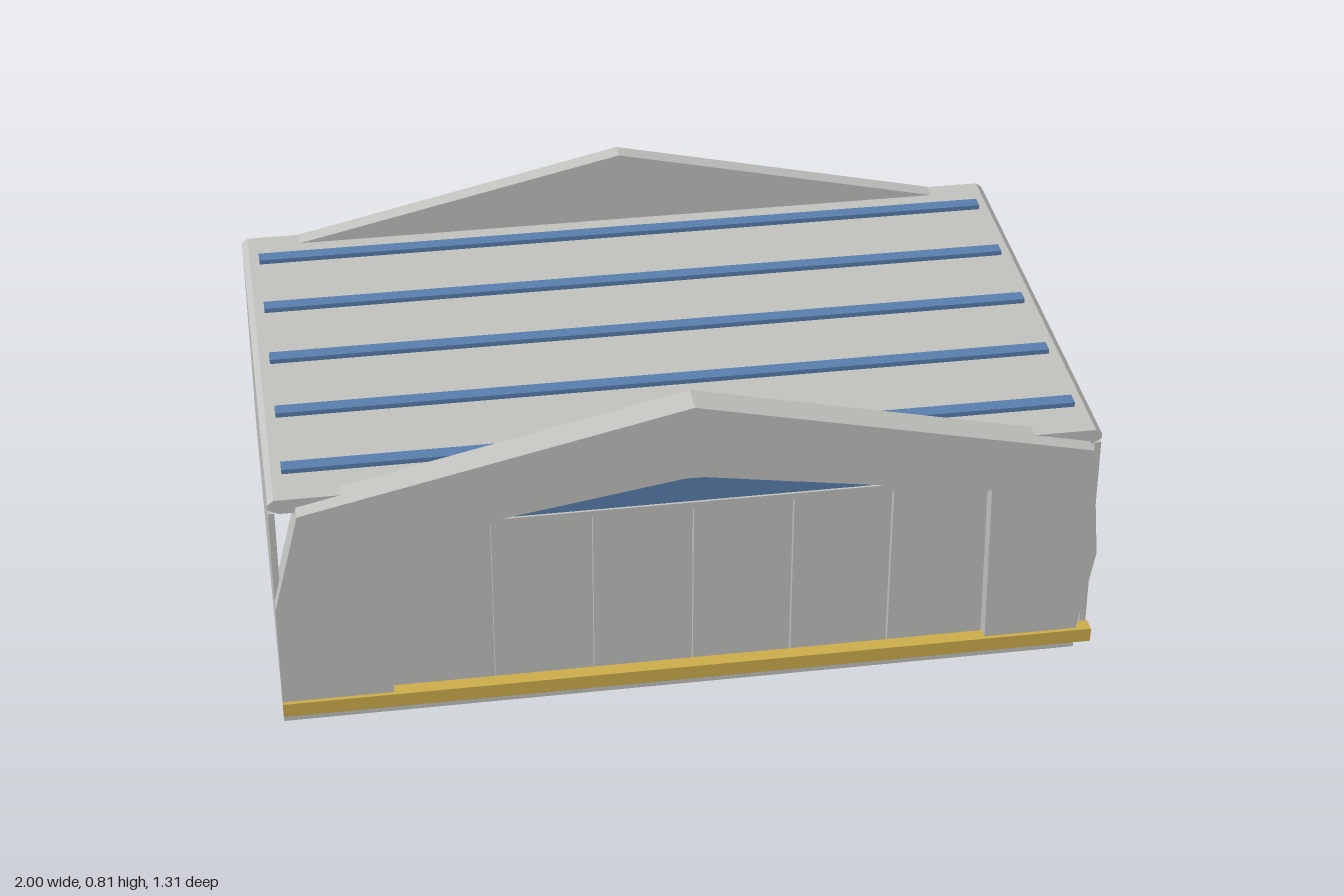
import * as THREE from 'three';

const grey = new THREE.MeshStandardMaterial({ color: 0xc4c4c1 });
grey.name = 'concrete grey';
const blue = new THREE.MeshStandardMaterial({ color: 0x5a80b0 });
blue.name = 'glass blue';
const yellow = new THREE.MeshStandardMaterial({ color: 0xcfaf4c });
yellow.name = 'kerb yellow';

export function createModel() {
  const model = new THREE.Group();
  model.name = 'hangar';

  const add = (name, geometry, material) => {
    const mesh = new THREE.Mesh(geometry, material);
    mesh.name = name;
    model.add(mesh);
    return mesh;
  };

  // Box given by its minimum and maximum on each axis
  const box = (name, material, x0, x1, y0, y1, z0, z1) => {
    const mesh = add(name, new THREE.BoxGeometry(x1 - x0, y1 - y0, z1 - z0), material);
    mesh.position.set((x0 + x1) / 2, (y0 + y1) / 2, (z0 + z1) / 2);
    return mesh;
  };

  // Outline in x and y, extruded from z0 to z1
  const toPoints = (list) => list.map(([x, y]) => new THREE.Vector2(x, y));
  const slab = (name, material, outline, z0, z1, hole) => {
    const shape = new THREE.Shape(toPoints(outline));
    if (hole) shape.holes.push(new THREE.Path(toPoints(hole)));
    const geometry = new THREE.ExtrudeGeometry(shape, { depth: z1 - z0, bevelEnabled: false });
    geometry.translate(0, 0, z0);
    return add(name, geometry, material);
  };

  // Front gable with its leaning shoulders and peaked doorway
  slab('frontGable', grey,
    [[-1, 0], [0.96, 0], [0.96, 0.04], [1, 0.28], [0.972, 0.585], [0, 0.803], [-0.935, 0.592], [-1, 0.33]],
    0.565, 0.643,
    [[-0.732, 0.03], [0.732, 0.03], [0.725, 0.495], [0, 0.61], [-0.725, 0.495]]);

  // Back gable
  slab('backGable', grey,
    [[-1, 0], [1, 0], [1, 0.582], [0, 0.808], [-1, 0.582]], -0.632, -0.585);

  // Side walls, each with a bevelled foot
  for (const side of [-1, 1]) {
    slab(side > 0 ? 'leftWall' : 'rightWall', grey,
      [[side, 0.014], [side, 0.58], [side * 0.985, 0.58], [side * 0.985, 0], [side * 0.99, 0]],
      -0.586, 0.602);
  }

  // Flat roof with stepped eaves
  const halfRoof = [[0.975, 0.578], [1, 0.59], [1, 0.605], [0.985, 0.616]];
  slab('roof', grey,
    [...halfRoof, ...halfRoof.map(([x, y]) => [-x, y]).reverse()], -0.63, 0.602);

  // Roof light strips
  for (let i = 0; i < 5; i++) {
    const z = -0.508 + i * 0.246;
    box('roofLight', blue, -0.96, 0.96, 0.612, 0.628, z - 0.018, z + 0.018);
  }

  // Sliding door leaves with dark gaps formed by a set-back panel
  const pitch = 1.462 / 6;
  for (let i = 0; i < 6; i++) {
    const x = -0.731 + i * pitch;
    box('doorLeaf', grey, x + (i ? 0.007 : 0), x + pitch - (i < 5 ? 0.007 : 0), 0.02, 0.497, 0.582, 0.602);
  }
  box('doorBacking', grey, -0.73, 0.73, 0.02, 0.497, 0.57, 0.584);
  box('doorLintel', grey, -0.73, 0.73, 0.495, 0.511, 0.57, 0.606);

  // Window band above the doors
  slab('transom', blue,
    [[-0.62, 0.51], [0.62, 0.51], [0.15, 0.587], [-0.15, 0.587]], 0.575, 0.6);

  // Kerb along the front
  box('frontKerb', yellow, -1, 1, 0.02, 0.057, 0.617, 0.653);

  // Back door and vents
  box('backDoor', blue, -0.732, -0.505, 0.02, 0.276, -0.653, -0.63);
  for (const x of [-0.385, 0.385]) {
    box('backVent', grey, x - 0.063, x + 0.063, 0.355, 0.447, -0.642, -0.63);
  }

  return model;
}
